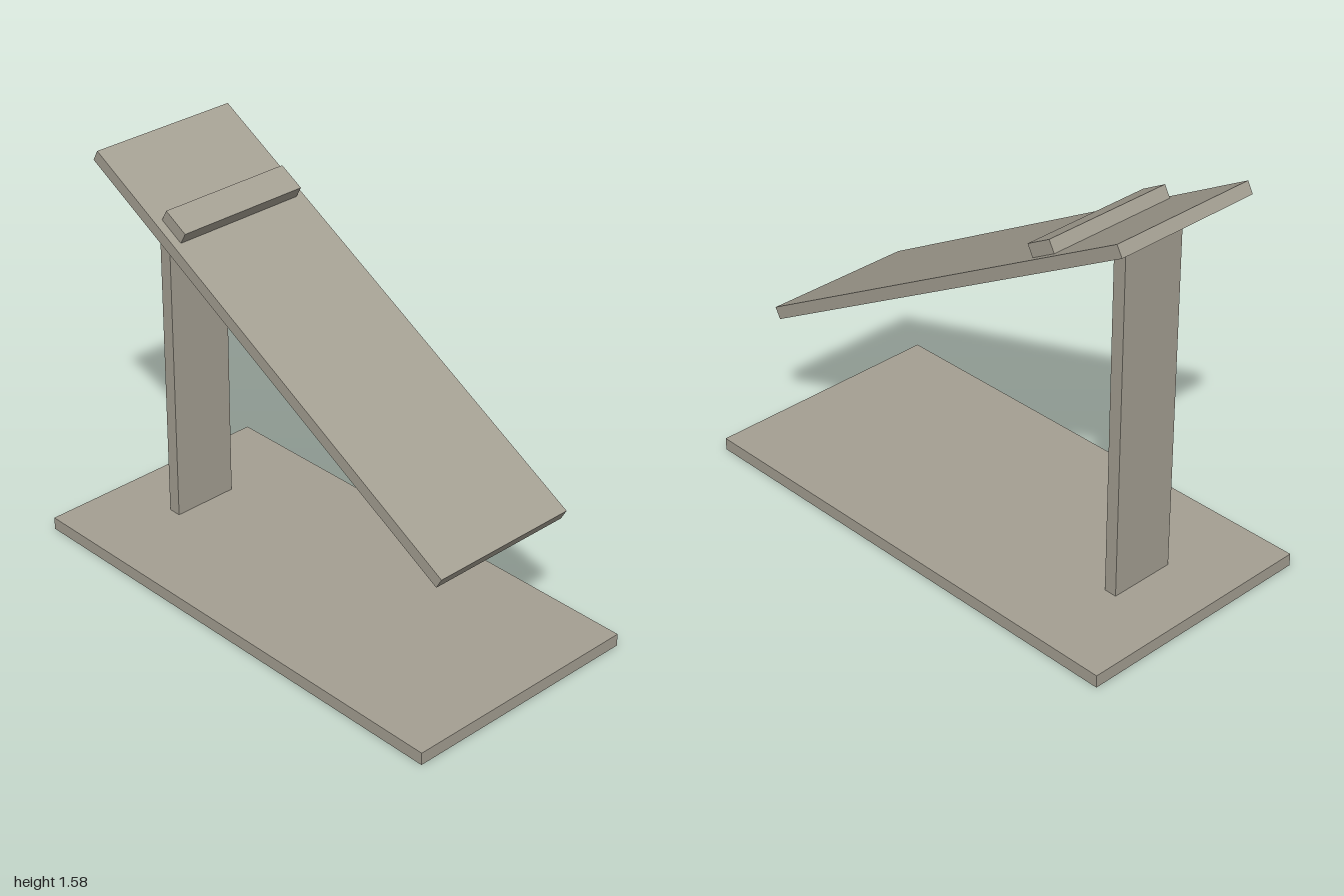
import * as THREE from 'three';

export function createModel() {
  const model = new THREE.Group();
  model.name = 'slantedStand';
  const material = new THREE.MeshStandardMaterial({ color: 0xa5a093 });
  material.name = 'warm grey';

  const addBox = (parent, name, size, position) => {
    const mesh = new THREE.Mesh(new THREE.BoxGeometry(...size), material);
    mesh.name = name;
    mesh.position.set(...position);
    parent.add(mesh);
    return mesh;
  };

  // The whole stand is turned very slightly about the vertical axis
  const stand = new THREE.Group();
  stand.name = 'stand';
  stand.rotation.y = 0.0077;
  model.add(stand);

  // Flat base and the upright post, whose top is buried in the board
  addBox(stand, 'base', [0.995, 0.05, 1.99], [0, 0.025, 0]);
  addBox(stand, 'post', [0.27, 1.41, 0.052], [0, 0.755, -0.708]);

  // Tilted board, high at the back, with a ledge strip across it
  const top = new THREE.Group();
  top.name = 'tiltedTop';
  top.position.set(0, 1.0725, 0.002);
  top.rotation.x = 0.51;
  stand.add(top);
  addBox(top, 'board', [0.617, 0.048, 1.995], [0, 0, 0]);
  addBox(top, 'ledge', [0.55, 0.05, 0.114], [0, 0.049, -0.587]);

  return model;
}
